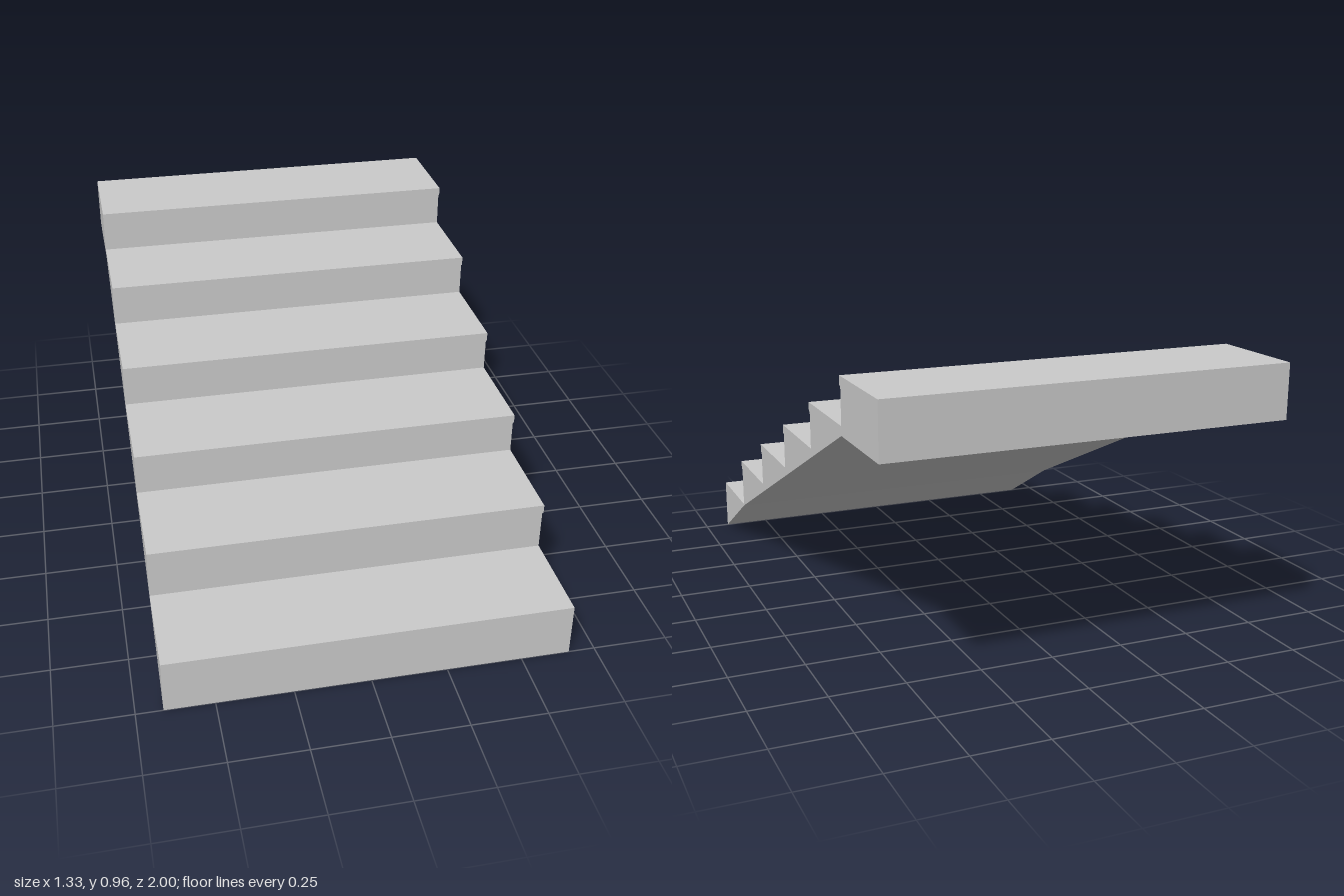
import * as THREE from 'three';

const WIDTH = 1.325;
const LIP = 0.01;         // nosing overhang
const LIP_HEIGHT = 0.03;  // nosing thickness
const RUN = 0.334;        // depth of one tread
const RISE = 0.15;        // height of one upper step

export function createModel() {
  const group = new THREE.Group();
  group.name = 'staircase';

  // Side profile as (z, y): first step has a plain front
  const profile = [[1, 0], [1, 0.185]];

  // Five upper steps, each a riser with a projecting nosing
  for (let i = 0; i < 5; i++) {
    const riserZ = 0.67 - i * RUN;
    const top = 0.36 + i * RISE;
    const foot = i === 0 ? 0.185 : top - RISE;
    profile.push(
      [riserZ, foot],
      [riserZ, top - LIP_HEIGHT],
      [riserZ + LIP, top - LIP_HEIGHT],
      [riserZ + LIP, top],
    );
  }

  // Landing end, its flat underside and the sloping soffit
  profile.push([-1, 0.96], [-1, 0.78], [-0.665, 0.78], [0.67, 0.18]);

  const shape = new THREE.Shape(profile.map(([z, y]) => new THREE.Vector2(z, y)));
  const geometry = new THREE.ExtrudeGeometry(shape, { depth: WIDTH, bevelEnabled: false });
  geometry.translate(0, 0, -WIDTH / 2);
  geometry.rotateY(-Math.PI / 2);

  const flight = new THREE.Mesh(
    geometry,
    new THREE.MeshStandardMaterial({ color: 0xcccccc, flatShading: true }),
  );
  flight.name = 'stairFlight';
  group.add(flight);
  return group;
}
